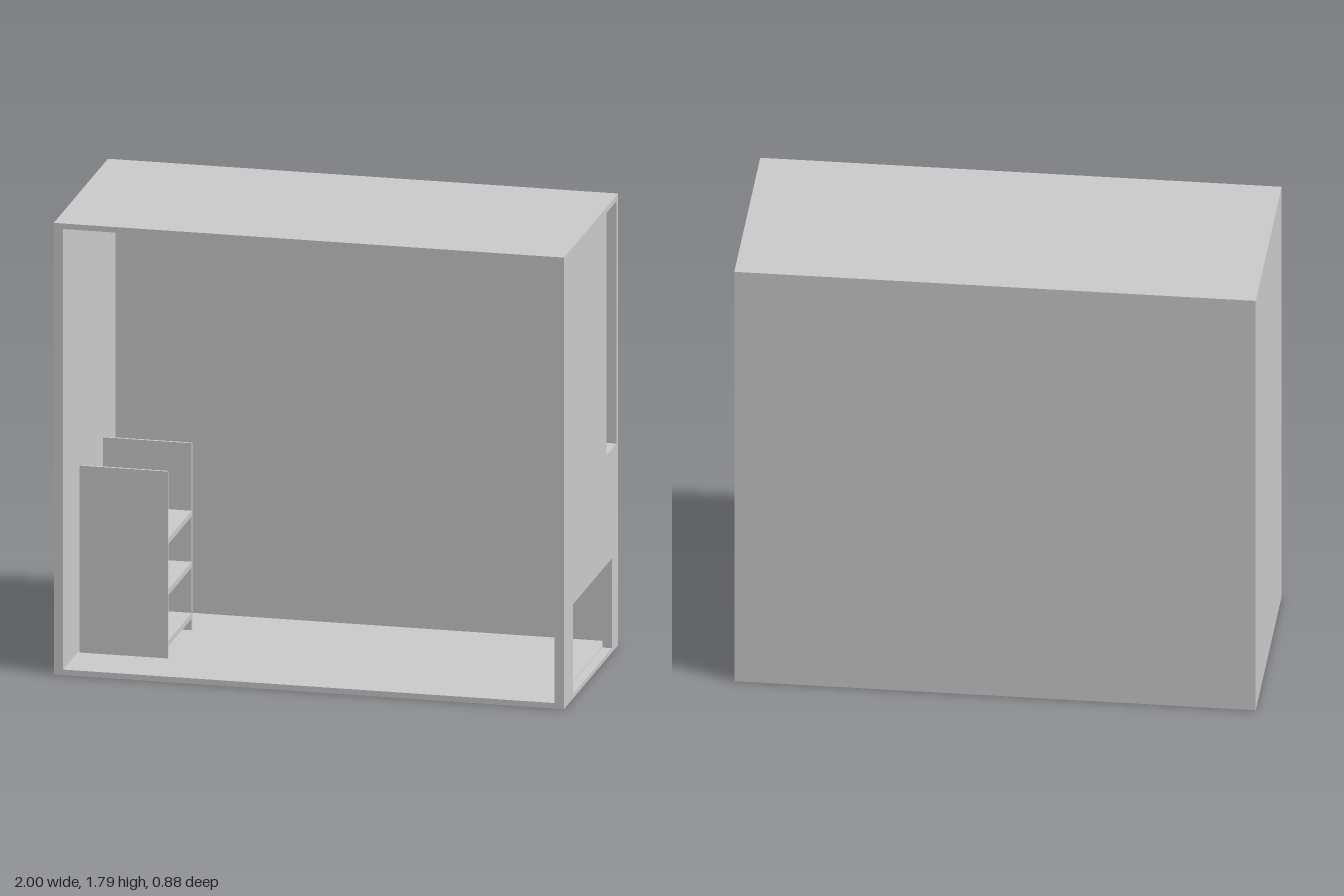
import * as THREE from 'three';

const W = 2, H = 1.795, D = 0.885;               // outer size
const SIDE = 0.037, FLOOR = 0.022, TOP = 0.022, BACK = 0.03;

export function createModel() {
  const model = new THREE.Group();
  model.name = 'openFrontedBox';
  const material = new THREE.MeshStandardMaterial({ color: 0xcccccc, flatShading: true });

  const add = (parent, name, geometry) => {
    const mesh = new THREE.Mesh(geometry, material);
    mesh.name = name;
    parent.add(mesh);
    return mesh;
  };
  // Box given by its lower and upper limits on each axis
  const slab = (parent, name, [x0, x1], [y0, y1], [z0, z1]) =>
    add(parent, name, new THREE.BoxGeometry(x1 - x0, y1 - y0, z1 - z0))
      .position.set((x0 + x1) / 2, (y0 + y1) / 2, (z0 + z1) / 2);

  // Enclosure: floor, ceiling, back and the solid side wall
  const inX = [-W / 2 + SIDE, W / 2 - SIDE], fullZ = [-D / 2, D / 2];
  const shell = new THREE.Group();
  shell.name = 'enclosure';
  model.add(shell);
  slab(shell, 'floor', inX, [0, FLOOR], fullZ);
  slab(shell, 'ceiling', inX, [H - TOP, H], fullZ);
  slab(shell, 'backWall', inX, [FLOOR, H - TOP], [-D / 2, -D / 2 + BACK]);
  slab(shell, 'closedSideWall', [-W / 2, inX[0]], [0, H], fullZ);

  // Side wall with a low hatch and a tall slot next to the back wall
  const rectangle = (Type, z0, z1, y0, y1) => {
    const p = new Type();
    p.moveTo(-z1, y0).lineTo(-z0, y0).lineTo(-z0, y1).lineTo(-z1, y1).closePath();
    return p;
  };
  const wall = rectangle(THREE.Shape, -D / 2, D / 2, 0, H);
  wall.holes.push(
    rectangle(THREE.Path, -0.338, 0.295, 0.018, 0.375),
    rectangle(THREE.Path, -0.412, -0.248, 0.81, H - TOP),
  );
  const wallGeometry = new THREE.ExtrudeGeometry(wall, { depth: SIDE, bevelEnabled: false });
  wallGeometry.rotateY(Math.PI / 2);
  add(shell, 'openSideWall', wallGeometry).position.x = W / 2 - SIDE;

  // Shelf rack standing against the closed side wall
  const rack = new THREE.Group();
  rack.name = 'shelfRack';
  model.add(rack);
  const rackX = [-0.957, -0.61];
  slab(rack, 'rackFrontPanel', rackX, [FLOOR, 0.765], [0.195, 0.205]);
  slab(rack, 'rackBackPanel', rackX, [FLOOR, 0.765], [-0.195, -0.185]);
  for (let i = 0; i < 3; i++) {
    const y = 0.068 + i * 0.203;
    slab(rack, `shelf${i + 1}`, rackX, [y, y + 0.023], [-0.186, 0.196]);
  }

  return model;
}
